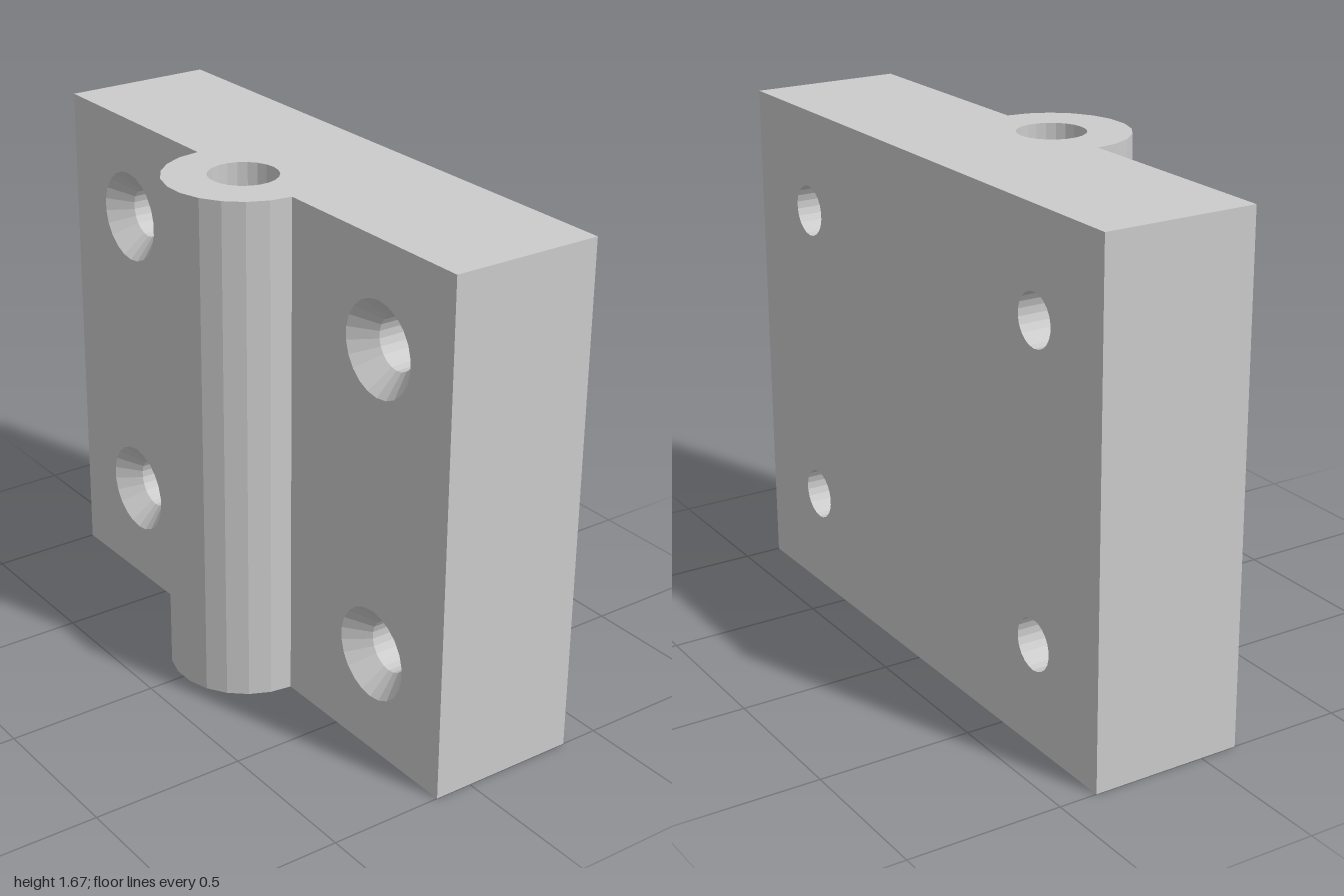
import * as THREE from 'three';
import { mergeGeometries } from 'three/addons/utils/BufferGeometryUtils.js';

const H = 1.667, W = 1;              // height and half width
const BACK = -0.375, FRONT = 0.125;  // plate faces in z
const BARREL = 0.25, SIDES = 22;
const BORE = 0.11, WIDE_BORE = 0.188, STEP = 0.83;
const HOLE = 0.083, SINK = 0.15, SINK_DEPTH = 0.07;
const HOLE_X = 0.667, HOLE_Y = [0.333, 1.333];

const material = new THREE.MeshStandardMaterial({ color: 0xcccccc, flatShading: true });

function circle(cx, cy, r) {
  const points = [];
  for (let i = 0; i < SIDES; i++) {
    const a = (i / SIDES) * Math.PI * 2;
    points.push(new THREE.Vector2(cx + r * Math.sin(a), cy + r * Math.cos(a)));
  }
  return new THREE.Path(points);
}

// Upright rectangle pierced by screw holes at the given x positions
function panel(x0, x1, holeXs, r) {
  const shape = new THREE.Shape([[x0, 0], [x1, 0], [x1, H], [x0, H]].map(p => new THREE.Vector2(...p)));
  for (const x of holeXs) for (const y of HOLE_Y) shape.holes.push(circle(x, y, r));
  return new THREE.ShapeGeometry(shape);
}

// End face: plate outline joined to the half-round barrel; s = -1 on top, 1 below
function endFace(s, boreRadius) {
  const points = [[W, FRONT], [W, BACK], [-W, BACK], [-W, FRONT]];
  for (let i = 0; i <= SIDES / 2; i++) {
    const a = -Math.PI / 2 + (i / SIDES) * Math.PI * 2;
    points.push([BARREL * Math.sin(a), FRONT + BARREL * Math.cos(a)]);
  }
  const shape = new THREE.Shape(points.map(([x, z]) => new THREE.Vector2(x, s * z)));
  shape.holes.push(circle(0, s * FRONT, boreRadius));
  return new THREE.ShapeGeometry(shape).rotateX(s * Math.PI / 2);
}

// Inward-facing turned wall; profile runs from high y to low y
function turned(profile) {
  return new THREE.LatheGeometry(profile.map(p => new THREE.Vector2(...p)), SIDES);
}

export function createModel() {
  const group = new THREE.Group();
  const add = (name, geometry) => {
    const mesh = new THREE.Mesh(geometry, material);
    mesh.name = name;
    group.add(mesh);
    return mesh;
  };

  // Plate: front and back faces, sides and ends
  const side = s => new THREE.PlaneGeometry(FRONT - BACK, H)
    .rotateY(s * Math.PI / 2).translate(s * W, H / 2, (FRONT + BACK) / 2);
  add('plate', mergeGeometries([
    panel(-W, W, [-HOLE_X, HOLE_X], HOLE).rotateY(Math.PI).translate(0, 0, BACK),
    panel(-W, -BARREL, [-HOLE_X], SINK).translate(0, 0, FRONT),
    panel(BARREL, W, [HOLE_X], SINK).translate(0, 0, FRONT),
    side(1), side(-1),
    endFace(-1, BORE).translate(0, H, 0),
    endFace(1, WIDE_BORE),
  ]));

  // Half-round barrel on the front
  add('barrel', new THREE.CylinderGeometry(BARREL, BARREL, H, SIDES / 2, 1, true, -Math.PI / 2, Math.PI)
    .translate(0, H / 2, FRONT));

  // Pin bore, wider from below
  add('pinBore', turned([[BORE, H], [BORE, STEP], [WIDE_BORE, STEP], [WIDE_BORE, 0]]).translate(0, 0, FRONT));

  // Countersunk screw holes
  const screw = turned([[SINK, FRONT], [HOLE, FRONT - SINK_DEPTH], [HOLE, BACK]]).rotateX(Math.PI / 2);
  for (const x of [-HOLE_X, HOLE_X]) {
    for (const y of HOLE_Y) add('screwHole', screw).position.set(x, y, 0);
  }
  return group;
}
